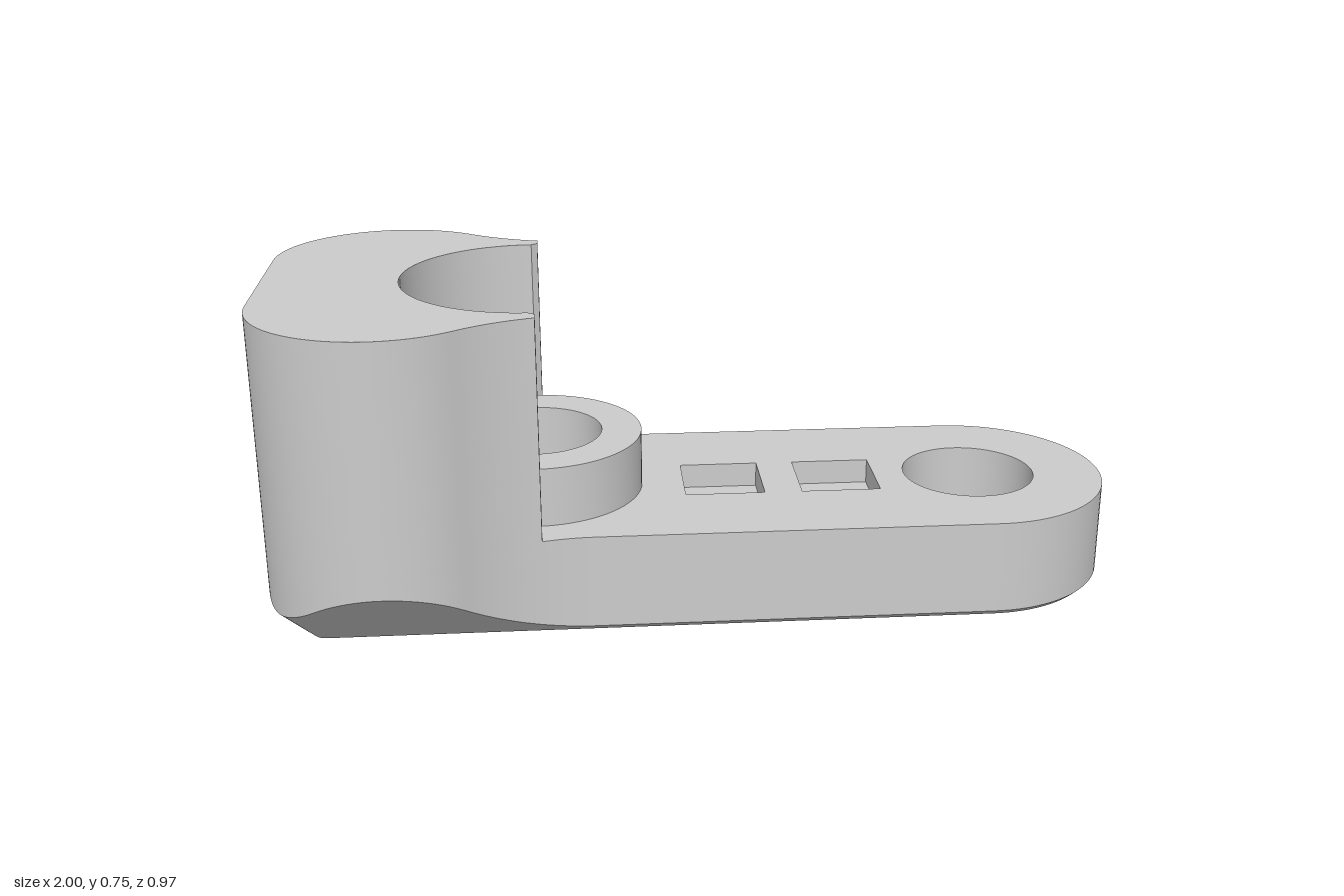
import * as THREE from 'three';
import { toCreasedNormals } from 'three/addons/utils/BufferGeometryUtils.js';

const material = new THREE.MeshStandardMaterial({ color: 0xcccccc });
const V = (x, y) => new THREE.Vector2(x, y);
const deg = Math.PI / 180;

// Key dimensions (plan coordinates are x and -z)
const FLOOR = 0.175, DECK = 0.235, BOSS = 0.375, TOP = 0.755;
const POST_X = -0.385, EYE_X = 0.675, HOLE_R = 0.16, TIP_X = -0.37;
const BASE_HALF = 0.312, BASE_LEFT = -0.9, CORNER = 0.035;

// Points on an arc, angles in degrees, either direction
function arc(cx, cy, r, from, to, n) {
  return Array.from({ length: n + 1 }, (_, i) => {
    const a = (from + ((to - from) * i) / n) * deg;
    return V(cx + r * Math.cos(a), cy + r * Math.sin(a));
  });
}
const mirrored = (pts) => pts.map((p) => V(p.x, -p.y)).reverse();

// Upper half of the plan outline: round end, concave fillet, rounded head
const fillet = arc(-0.25, 0.795, 0.47, -90, -128, 20);
const half = [
  ...arc(EYE_X, 0, 0.325, 0, 90, 28),
  ...fillet,
  ...arc(-0.715, 0.2, 0.285, 52, 180, 48).slice(1),
];
const outline = [...half, ...mirrored(half).slice(0, -1)];

// Nearest point of the smaller footprint, which gives the 45 degree chamfer
function footprint(p) {
  const core = p.x > EYE_X
    ? V(EYE_X, 0)
    : V(Math.max(p.x, BASE_LEFT + CORNER),
        THREE.MathUtils.clamp(p.y, CORNER - BASE_HALF, BASE_HALF - CORNER));
  const r = p.x > EYE_X ? BASE_HALF : CORNER;
  return p.clone().sub(core).setLength(r).add(core);
}

// Closed skin through rings of 3D points, lowest ring first
function loft(rings) {
  const out = [];
  for (let k = 0; k < rings.length - 1; k++) {
    const a = rings[k], b = rings[k + 1];
    a.forEach((_, i) => {
      const j = (i + 1) % a.length;
      for (const v of [a[i], a[j], b[j], a[i], b[j], b[i]]) out.push(v.x, v.y, v.z);
    });
  }
  const g = new THREE.BufferGeometry();
  g.setAttribute('position', new THREE.Float32BufferAttribute(out, 3));
  return toCreasedNormals(g, 0.5);
}
const lift = (pts, y) => pts.map((p) => new THREE.Vector3(p.x, y, -p.y));

function shapeWith(points, holes) {
  const s = new THREE.Shape(points);
  s.holes = holes.map((h) => new THREE.Path(h));
  return s;
}
const hole = (x, r) => arc(x, 0, r, 360, 0, 56).slice(0, -1);
const square = (x, h) => [V(x - h, -h), V(x - h, h), V(x + h, h), V(x + h, -h)];

// Vertical prism between two heights
function prism(shape, y0, y1) {
  const g = new THREE.ExtrudeGeometry(shape, { depth: y1 - y0, bevelEnabled: false });
  g.rotateX(-Math.PI / 2).translate(0, y0, 0);
  return toCreasedNormals(g, 0.5);
}

export function createModel() {
  const group = new THREE.Group();
  const add = (name, geometry) => {
    const mesh = new THREE.Mesh(geometry, material);
    mesh.name = name;
    group.add(mesh);
  };

  // Lower body: chamfered underside and side wall
  const foot = outline.map(footprint);
  const chamferTop = outline.map((p, i) => new THREE.Vector3(p.x, p.distanceTo(foot[i]), -p.y));
  add('baseWall', loft([lift(foot, 0), chamferTop, lift(outline, FLOOR)]));

  const under = shapeWith(foot, [POST_X, EYE_X].map((x) => hole(x, HOLE_R + 0.015)));
  add('underside', new THREE.ShapeGeometry(under).rotateX(Math.PI / 2).scale(1, 1, 1));

  // Pocket floors
  const holes = [POST_X, EYE_X].map((x) => hole(x, HOLE_R));
  const pockets = [0.065, 0.345].map((x) => square(x, 0.095));
  pockets.forEach((p) => {
    const g = new THREE.ShapeGeometry(new THREE.Shape(p));
    add('pocketFloor', g.rotateX(-Math.PI / 2).translate(0, FLOOR, 0));
  });

  // Bored holes with a small chamfer at the bottom
  for (const x of [POST_X, EYE_X]) {
    add('boreWall', loft([
      lift(hole(x, HOLE_R + 0.015), 0),
      lift(hole(x, HOLE_R), 0.015),
      lift(hole(x, HOLE_R), FLOOR),
    ]));
  }

  // Deck plate pierced by the holes and the square pockets
  add('armDeck', prism(shapeWith(outline, [...holes, ...pockets]), FLOOR, DECK));

  // Head outline up to its two tips
  const tipY = 0.795 - Math.sqrt(0.47 ** 2 - (TIP_X + 0.25) ** 2);
  const side = [
    V(POST_X, 0.3), V(TIP_X, 0.312), V(TIP_X, tipY),
    ...half.filter((p) => p.x < TIP_X - 0.002),
  ];
  const head = [...side, ...mirrored(side)];

  // Seat: foot of the head joined with the round boss
  const boss = arc(POST_X, 0, 0.255, -90, 90, 40);
  add('seatBoss', prism(shapeWith([...head, ...boss], [holes[0]]), DECK, BOSS));

  // Tall head with its half-round recess
  const recess = arc(POST_X, 0, 0.3, 270, 90, 48).slice(1, -1);
  add('head', prism(shapeWith([...head, ...recess], []), BOSS, TOP));

  return group;
}
